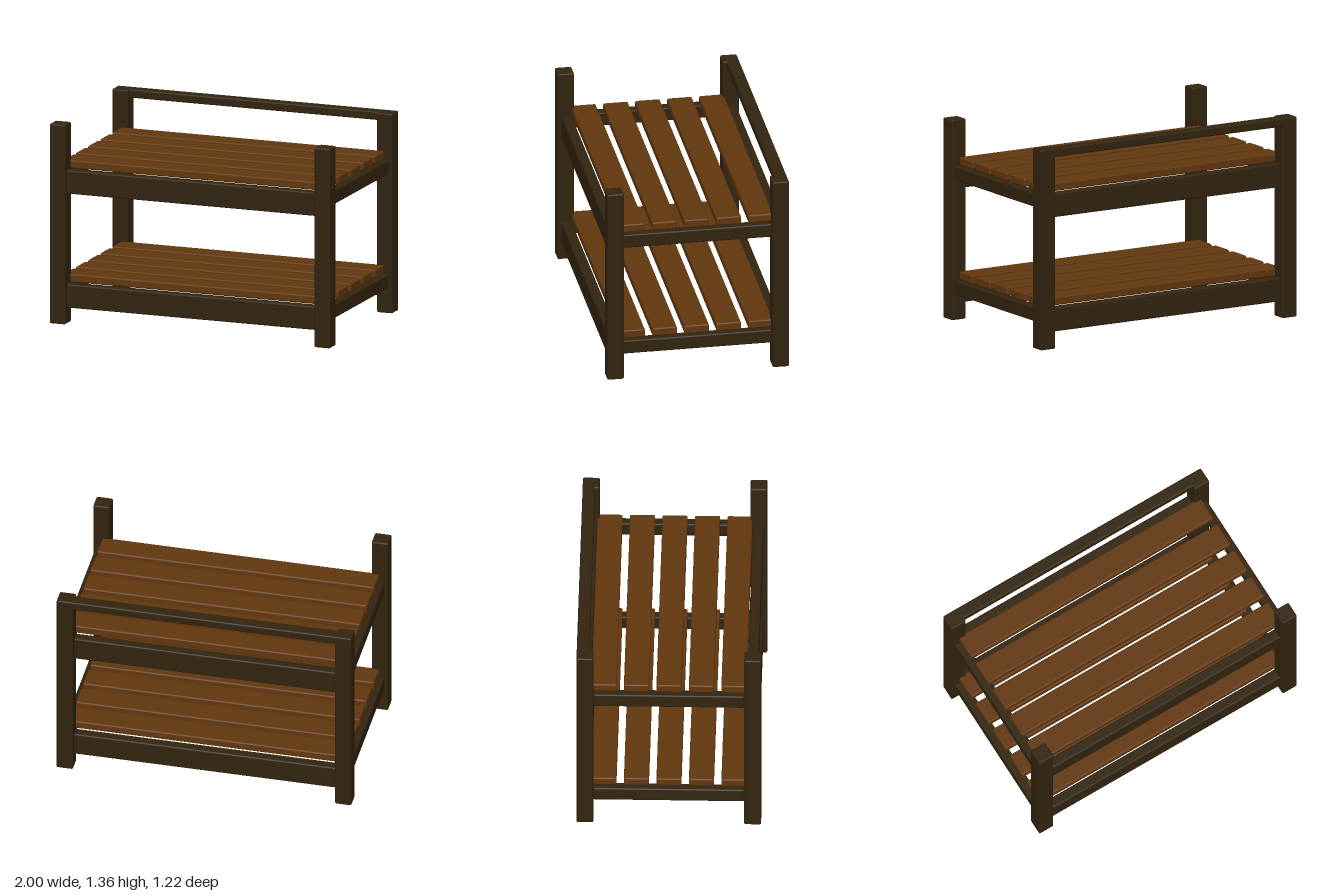
import * as THREE from 'three';
import { RoundedBoxGeometry } from 'three/addons/geometries/RoundedBoxGeometry.js';

export function createModel() {
  const model = new THREE.Group();
  model.name = 'slattedShelf';

  const darkWood = new THREE.MeshStandardMaterial({ color: 0x32240f });
  darkWood.name = 'dark wood';
  const slatWood = new THREE.MeshStandardMaterial({ color: 0x62370e });
  slatWood.name = 'brown slat wood';

  // Softly bevelled board, placed by its centre
  function board(name, material, size, position, parent = model) {
    const mesh = new THREE.Mesh(new RoundedBoxGeometry(...size, 2, 0.01), material);
    mesh.name = name;
    mesh.position.set(...position);
    parent.add(mesh);
  }

  // Corner posts
  for (const x of [-1, 1]) {
    for (const z of [-1, 1]) {
      const name = (z > 0 ? 'front' : 'back') + (x > 0 ? 'Left' : 'Right') + 'Post';
      board(name, darkWood, [0.112, 1.355, 0.112], [x * 0.944, 0.6775, z * 0.555]);
    }
  }

  // Top rail across the back posts
  board('backTopRail', darkWood, [2, 0.058, 0.083], [0, 1.326, -0.5695]);

  // Two shelves: y is the underside of the slats
  for (const [name, y] of [['lowerShelf', 0.268], ['upperShelf', 1.042]]) {
    const shelf = new THREE.Group();
    shelf.name = name;
    shelf.position.y = y;
    model.add(shelf);

    // Long aprons at front and back, shorter bearers at the sides
    for (const s of [-1, 1]) {
      board(s > 0 ? 'frontApron' : 'backApron', darkWood,
        [1.776, 0.16, 0.07], [0, -0.078, s * 0.55], shelf);
      board(s > 0 ? 'leftBearer' : 'rightBearer', darkWood,
        [0.068, 0.095, 1.0], [s * 0.942, -0.0485, 0], shelf);
    }

    // Five slats
    for (let i = -2; i <= 2; i++) {
      board('slat', slatWood, [1.876, 0.056, 0.166], [0, 0.028, i * 0.215], shelf);
    }
  }

  return model;
}
